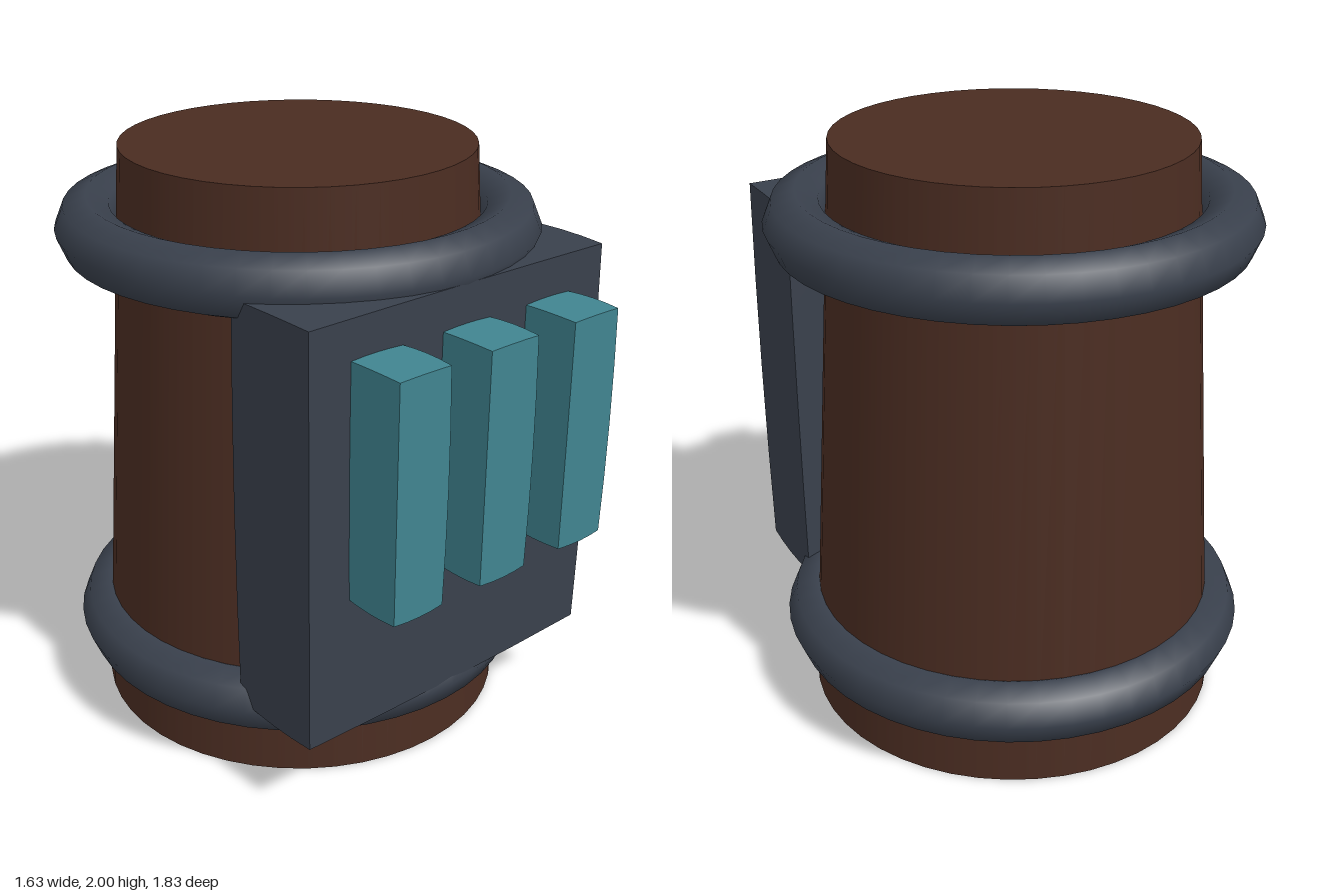
import * as THREE from 'three';

const material = (name, color) => {
  const m = new THREE.MeshStandardMaterial({ color });
  m.name = name;
  return m;
};

// Box whose faces swell very slightly towards their middles
function softBox(w, h, d, bulge) {
  const geo = new THREE.BoxGeometry(w, h, d, 4, 4, 4);
  const p = geo.attributes.position;
  const half = [w / 2, h / 2, d / 2];
  for (let i = 0; i < p.count; i++) {
    const v = [p.getX(i), p.getY(i), p.getZ(i)];
    const u = v.map((c, k) => c / half[k]);
    const moved = v.map((c, k) => {
      const a = u[(k + 1) % 3], b = u[(k + 2) % 3];
      return c - u[k] * bulge * (a * a + b * b) / 2;
    });
    p.setXYZ(i, ...moved);
  }
  return geo;
}

export function createModel() {
  const group = new THREE.Group();
  const brown = material('brown body', 0x4a2c21);
  const slate = material('slate metal', 0x39404c);
  const teal = material('teal glow', 0x408490);
  const axisZ = -0.1;

  const add = (name, geo, mat, x, y, z) => {
    const mesh = new THREE.Mesh(geo, mat);
    mesh.name = name;
    mesh.position.set(x, y, z);
    group.add(mesh);
    return mesh;
  };

  // Tapered barrel
  add('body', new THREE.CylinderGeometry(0.595, 0.725, 2, 48), brown, 0, 1, axisZ);

  // Hoops around both ends
  for (const [name, y] of [['lowerRing', 0.277], ['upperRing', 1.732]]) {
    const ring = new THREE.TorusGeometry(0.708, 0.107, 8, 48).rotateX(Math.PI / 2);
    add(name, ring, slate, 0, y, axisZ);
  }

  // Front panel with three raised bars
  add('frontPanel', softBox(1.26, 1.432, 0.376, 0.01), slate, 0, 1.002, 0.522);
  [-0.365, 0, 0.365].forEach((x, i) => {
    add('bar' + (i + 1), softBox(0.216, 0.806, 0.23, 0.008), teal, x, 1.185, 0.801);
  });

  return group;
}
